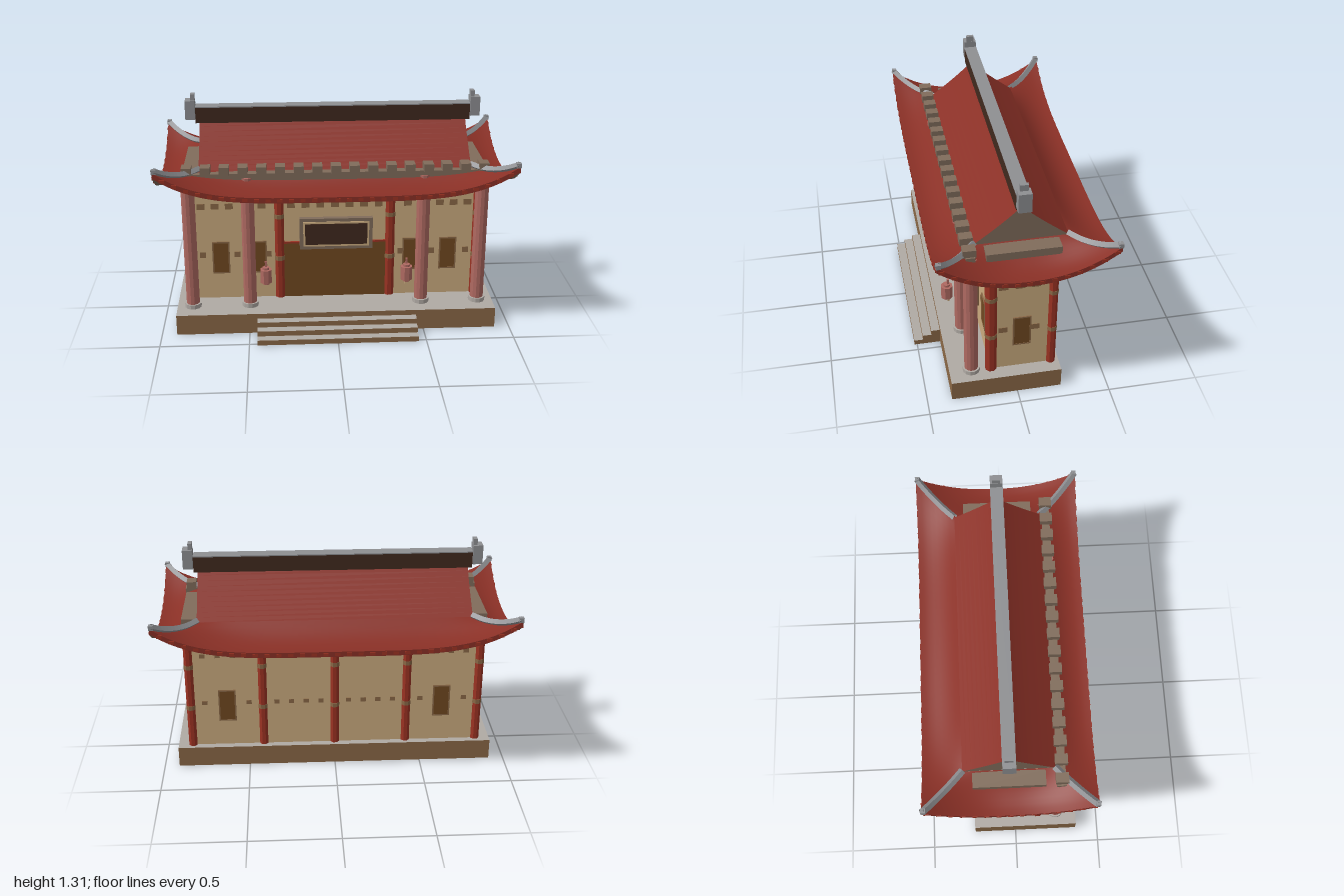
import * as THREE from 'three';

const mat = (name, color) => {
  const m = new THREE.MeshStandardMaterial({ color, side: THREE.DoubleSide });
  m.name = name;
  return m;
};

export function createModel() {
  const roofRed = mat('roof red', 0x8a3026), postRed = mat('post red', 0x9c3323);
  const pink = mat('column pink', 0xb06a62), plaster = mat('plaster', 0xcaab7f);
  const earth = mat('earth brown', 0x8a6846), stone = mat('pale stone', 0xb0aaa4);
  const grey = mat('ridge grey', 0x8e8f92), timber = mat('timber grey', 0x806c5b);
  const doorBrown = mat('door brown', 0x704820), dark = mat('dark brown', 0x40291e);

  const model = new THREE.Group();
  const add = (name, geo, material, x = 0, y = 0, z = 0, parent = model) => {
    const m = new THREE.Mesh(geo, material);
    m.name = name;
    m.position.set(x, y, z);
    parent.add(m);
    return m;
  };
  const box = (name, material, w, h, d, x, y, z, parent) =>
    add(name, new THREE.BoxGeometry(w, h, d), material, x, y, z, parent);
  const drum = (name, material, r, y0, y1, x, z, sides = 8, parent = model) => {
    const geo = new THREE.CylinderGeometry(r, r, y1 - y0, sides).toNonIndexed();
    geo.rotateY(Math.PI / sides);
    geo.computeVertexNormals();
    return add(name, geo, material, x, (y0 + y1) / 2, z, parent);
  };
  // Grid surface from a rule: u runs -1..1, v runs 0..1
  const surface = (fn, nu, nv) => {
    const pos = [], idx = [];
    for (let j = 0; j <= nv; j++)
      for (let i = 0; i <= nu; i++) pos.push(...fn((i / nu) * 2 - 1, j / nv));
    for (let j = 0; j < nv; j++)
      for (let i = 0; i < nu; i++) {
        const a = j * (nu + 1) + i, c = a + nu + 1;
        idx.push(a, c, a + 1, a + 1, c, c + 1);
      }
    const g = new THREE.BufferGeometry();
    g.setAttribute('position', new THREE.Float32BufferAttribute(pos, 3));
    g.setIndex(idx);
    g.computeVertexNormals();
    return g;
  };
  // Open-bottomed slab with brown sides and a stone top
  const slab = (name, w, y0, y1, zBack, zFront) => {
    const g = new THREE.BoxGeometry(w, y1 - y0, zFront - zBack);
    const idx = Array.from(g.index.array);
    idx.splice(18, 6);
    g.setIndex(idx);
    g.clearGroups();
    g.addGroup(0, 12, 0);
    g.addGroup(12, 6, 1);
    g.addGroup(18, 12, 0);
    add(name, g, [earth, stone], 0, (y0 + y1) / 2, (zBack + zFront) / 2);
  };

  // Platform and steps
  slab('platform', 1.83, 0, 0.12, -0.245, 0.365);
  [0.515, 0.465, 0.415].forEach((z, i) => slab('step', 0.91, i * 0.03, (i + 1) * 0.03, 0.365, z));

  // Walls
  const zF = 0.135, zB = -0.2, xW = 0.83, top = 0.875;
  for (const z of [zF, zB]) box('wall', plaster, 2 * xW, top - 0.12, 0.012, 0, (top + 0.12) / 2, z);
  for (const s of [-1, 1]) box('sideWall', plaster, 0.012, top - 0.12, zF - zB, s * xW, (top + 0.12) / 2, (zF + zB) / 2);
  box('rearBeam', timber, 1.66, 0.03, 0.05, 0, 0.855, zB - 0.02);

  // Red posts with brown bands
  const post = (x, z, r) => {
    drum('post', postRed, r, 0.12, top, x, z);
    for (const y of [0.37, 0.63]) drum('postBand', earth, r + 0.002, y - 0.013, y + 0.013, x, z);
  };
  for (const s of [-1, 1]) {
    post(s * xW, zF, 0.033);
    post(s * 0.32, zF, 0.029);
  }
  for (let i = -2; i <= 2; i++) post(i * 0.415, zB, 0.026);

  // Windows, door and wall ornaments
  const win = (x, z, turned) => {
    const g = new THREE.Group();
    g.name = 'window';
    g.position.set(x, 0.378, z);
    g.rotation.y = turned;
    box('windowPanel', doorBrown, 0.09, 0.185, 0.008, 0, 0, 0.008, g);
    for (const s of [-1, 1]) {
      box('windowStile', earth, 0.008, 0.197, 0.009, s * 0.046, 0, 0.009, g);
      box('windowRail', earth, 0.1, 0.008, 0.009, 0, s * 0.095, 0.009, g);
    }
    model.add(g);
  };
  for (const s of [-1, 1]) {
    win(s * 0.66, zF, 0);
    win(s * 0.445, zF, 0);
    win(s * 0.62, zB, Math.PI);
    win(s * xW, -0.033, s * Math.PI / 2);
    for (const z of [0.07, -0.02, -0.105])
      for (const y of [0.695, 0.395])
        if (y > 0.5 || z !== -0.02) box('wallOrnament', earth, 0.006, 0.034, 0.05, s * (xW + 0.006), y, z);
    for (const x of [0.765, 0.685, 0.605, 0.42])
      box('wallOrnament', earth, 0.045, 0.034, 0.006, s * x, 0.695, zF + 0.006);
    for (const x of [0.765, 0.565, 0.385])
      box('wallOrnament', earth, 0.035, 0.034, 0.006, s * x, 0.395, zF + 0.006);
  }
  for (let i = -3; i <= 3; i++) box('wallOrnament', earth, 0.045, 0.034, 0.006, i * 0.084, 0.695, zF + 0.006);
  for (let bay = 0; bay < 4; bay++)
    for (let i = -1.5; i <= 1.5; i++)
      for (const y of [0.695, 0.395]) {
        const x = (bay - 1.5) * 0.415 + i * 0.085;
        if (y > 0.5 || Math.abs(Math.abs(x) - 0.62) > 0.08)
          box('wallOrnament', earth, 0.03, 0.025, 0.006, x, y, zB - 0.006);
      }
  box('door', doorBrown, 0.59, 0.34, 0.009, 0, 0.29, zF + 0.008);
  box('doorLintel', postRed, 0.59, 0.01, 0.02, 0, 0.465, zF + 0.008);

  // Front colonnade
  for (const x of [-0.825, -0.495, 0.495, 0.825]) {
    drum('column', pink, 0.038, 0.14, 0.91, x, 0.243, 12);
    drum('columnBase', stone, 0.048, 0.12, 0.145, x, 0.243, 12);
  }
  box('frontBeam', timber, 1.72, 0.05, 0.05, 0, 0.91, 0.245);
  for (let i = -8; i <= 8; i++) box('beamBlock', timber, 0.055, 0.045, 0.07, i * 0.103, 0.953, 0.248);

  // Hanging plaque
  box('plaqueFrame', timber, 0.412, 0.185, 0.03, 0, 0.573, 0.27);
  box('plaqueBorder', plaster, 0.372, 0.148, 0.006, 0, 0.573, 0.286);
  box('plaquePanel', dark, 0.35, 0.125, 0.006, 0, 0.573, 0.289);

  // Lanterns
  for (const s of [-1, 1]) {
    const x = s * 0.4, z = 0.31;
    drum('lantern', pink, 0.034, 0.295, 0.375, x, z);
    drum('lanternCap', pink, 0.02, 0.375, 0.388, x, z);
    box('lanternHook', pink, 0.012, 0.04, 0.012, x, 0.4, z - 0.008);
    drum('lanternFoot', pink, 0.02, 0.283, 0.295, x, z);
    box('lanternTassel', plaster, 0.012, 0.025, 0.012, x, 0.272, z - 0.008);
  }

  // Roof: each side is made facing +z and turned into place
  const roof = new THREE.Group();
  roof.name = 'roof';
  roof.position.z = -0.035;
  model.add(roof);
  const innerY = 0.94, ridgeY = 1.155;
  const long = { a: 0.99, ia: 0.76, wa: 0.83, d: 0.468, id: 0.25, wd: 0.167, p: 4.5 };
  const short = { a: 0.468, ia: 0.25, wa: 0.167, d: 0.99, id: 0.76, wd: 0.83, p: 2.3 };
  const mix = THREE.MathUtils.lerp;
  const profile = (t) => ridgeY - (ridgeY - innerY) * Math.pow(t, 0.87);

  [long, short, long, short].forEach((s, k) => {
    const side = new THREE.Group();
    side.name = 'roofSide';
    side.rotation.y = k * Math.PI / 2;
    roof.add(side);
    const eave = (u) => 0.85 + 0.155 * Math.pow(Math.abs(u), s.p);
    const skirt = (u, v) => [u * mix(s.ia, s.a, v), mix(innerY, eave(u), v) - 0.12 * v * (1 - v), mix(s.id, s.d, v)];
    add('eaveRoof', surface(skirt, 40, 8), roofRed, 0, 0, 0, side);
    add('eaveEdge', surface((u, v) => [u * s.a, eave(u) - 0.03 * v, s.d], 40, 1), roofRed, 0, 0, 0, side);
    add('soffit', surface((u, v) => [u * mix(s.a, s.wa, v),
      mix(eave(u) - 0.03, 0.875, v) - 0.06 * v * (1 - v), mix(s.d, s.wd, v)], 40, 6), timber, 0, 0, 0, side);
    // Rafter ends along the eave
    const n = Math.round(s.a * 15);
    for (let i = -n; i <= n; i++) {
      const u = (i / n) * 0.95;
      box('rafterEnd', postRed, 0.028, 0.018, 0.006, u * s.a, eave(u) - 0.015, s.d, side);
    }
    if (s === long) {
      add('upperRoof', surface((u, v) => [u * 0.76, profile(v), v * 0.25], 1, 10), roofRed, 0, 0, 0, side);
      // Hip ridges with upturned tips
      for (const m of [-1, 1]) {
        const pts = [0, 0.25, 0.5, 0.75, 0.9, 1].map((v) => {
          const [x, y, z] = skirt(m, v);
          return new THREE.Vector3(x * 0.995, y + 0.008, z * 0.99);
        });
        const geo = new THREE.TubeGeometry(new THREE.CatmullRomCurve3(pts), 14, 0.02, 4).toNonIndexed();
        geo.computeVertexNormals();
        add('hipRidge', geo, grey, 0, 0, 0, side);
        const tip = skirt(m, 1);
        box('hipTip', grey, 0.026, 0.026, 0.026, tip[0] * 0.99, tip[1] + 0.006, tip[2] * 0.98, side);
      }
    } else {
      add('gable', surface((u, v) => [u * 0.25, mix(profile(Math.abs(u)), innerY - 0.01, v), 0.757], 20, 1),
        timber, 0, 0, 0, side);
      box('gableBeam', timber, 0.395, 0.045, 0.085, 0, 0.913, 0.808, side);
    }
  });

  // Main ridge and end ornaments
  box('ridge', dark, 1.56, 0.09, 0.07, 0, 1.193, 0, roof);
  box('ridgeCap', grey, 1.56, 0.006, 0.072, 0, 1.24, 0, roof);
  for (const s of [-1, 1]) {
    box('ridgeEnd', grey, 0.055, 0.11, 0.07, s * 0.81, 1.222, 0, roof);
    box('ridgeFinial', grey, 0.022, 0.036, 0.045, s * 0.795, 1.294, 0, roof);
  }
  return model;
}
